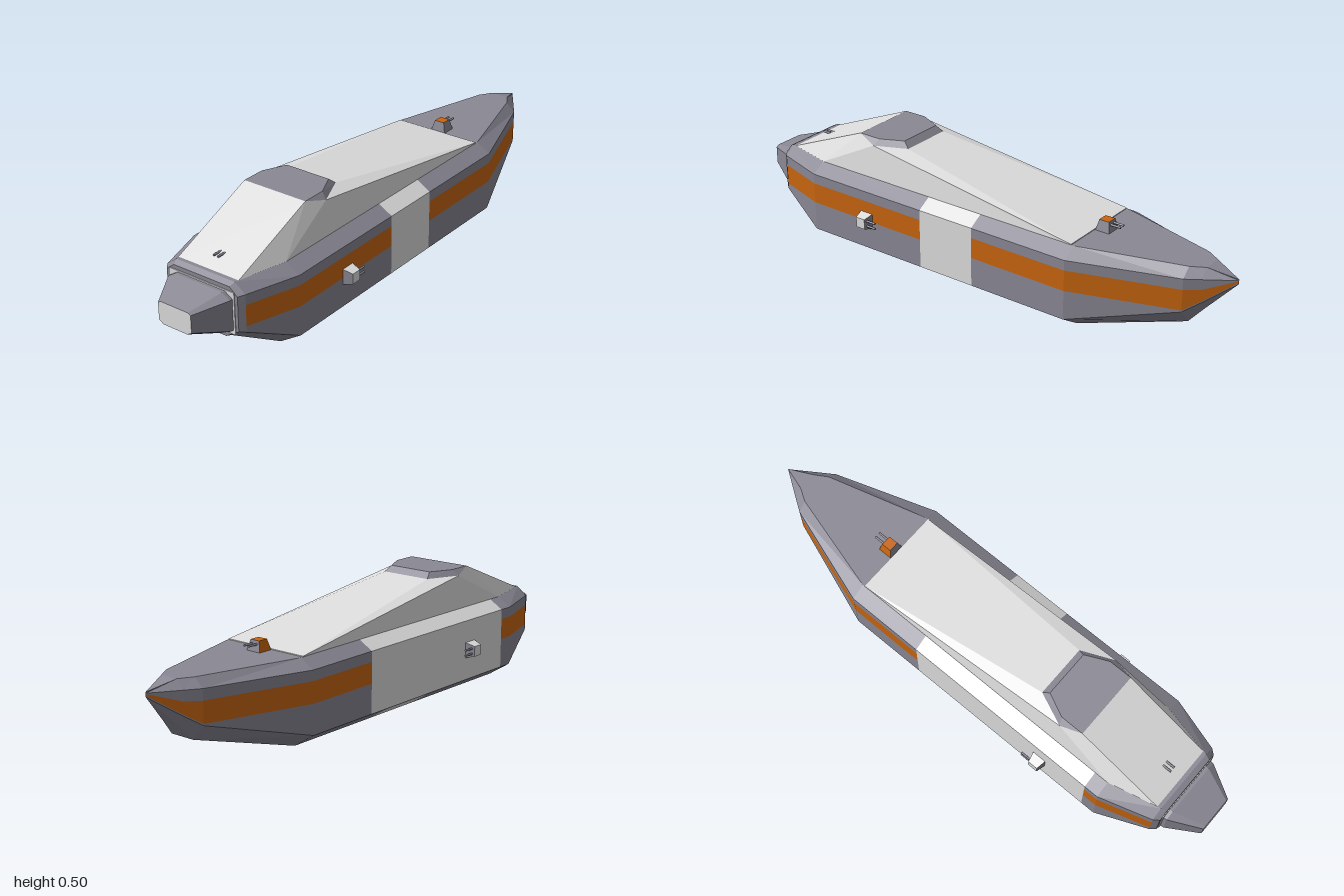
import * as THREE from 'three';

const mat = (name, color) => Object.assign(new THREE.MeshStandardMaterial({ color }), { name });

export function createModel() {
  const ship = new THREE.Group();
  ship.name = 'ship';
  const grey = mat('hull grey', 0x8a8894);
  const light = mat('light panel', 0xdedede);
  const orange = mat('orange stripe', 0xc8650f);
  const palette = [grey, light, orange];
  const GREY = 0, LIGHT = 1, ORANGE = 2;

  // Flat faces, each turned away from a centre point and grouped by colour
  function facetMesh(name, centre, faces) {
    const geo = new THREE.BufferGeometry(), pos = [];
    const c = new THREE.Vector3(...centre);
    palette.forEach((_, m) => {
      const start = pos.length / 3;
      for (const { pts, m: fm } of faces) {
        if (fm !== m) continue;
        const v = pts.map(p => new THREE.Vector3(...p));
        for (let i = 1; i < v.length - 1; i++) {
          const t = new THREE.Triangle(v[0], v[i], v[i + 1]);
          if (t.getArea() < 1e-9) continue;
          const out = t.getMidpoint(new THREE.Vector3()).sub(c);
          const flip = t.getNormal(new THREE.Vector3()).dot(out) < 0;
          for (const p of flip ? [t.a, t.c, t.b] : [t.a, t.b, t.c]) pos.push(p.x, p.y, p.z);
        }
      }
      if (pos.length / 3 > start) geo.addGroup(start, pos.length / 3 - start, m);
    });
    geo.setAttribute('position', new THREE.Float32BufferAttribute(pos, 3));
    geo.computeVertexNormals();
    const mesh = new THREE.Mesh(geo, palette);
    mesh.name = name;
    ship.add(mesh);
  }

  // Joins mirrored half sections; colour(section, band, side) picks the paint
  function loft(sections, colour, capColours) {
    const faces = [];
    const ring = ({ z, half }, s) => half.map(([x, y]) => [s * x, y, z]);
    for (let i = 0; i < sections.length - 1; i++) {
      for (const s of [1, -1]) {
        const a = ring(sections[i], s), b = ring(sections[i + 1], s);
        for (let k = 0; k < a.length - 1; k++)
          faces.push({ pts: [a[k], a[k + 1], b[k + 1], b[k]], m: colour(i, k, s) });
      }
      const a = ring(sections[i], 1), b = ring(sections[i + 1], 1);
      const a2 = ring(sections[i], -1), b2 = ring(sections[i + 1], -1), n = a.length - 1;
      faces.push({ pts: [a[0], b[0], b2[0], a2[0]], m: colour(i, -1, 0) });
      faces.push({ pts: [a[n], b[n], b2[n], a2[n]], m: colour(i, n, 0) });
    }
    [sections[0], sections[sections.length - 1]].forEach((sec, i) =>
      faces.push({ pts: [...ring(sec, 1), ...ring(sec, -1).reverse()], m: capColours[i] }));
    return faces;
  }

  // Hull: top edge, shoulder, stripe top, stripe bottom, chine, keel edge
  const hullSection = (z, w, top, topW, shoulder, s1, s0, chine, keel, keelW) =>
    ({ z, half: [[topW, top], [w, shoulder], [w, s1], [w, s0], [w, chine], [keelW, keel]] });
  const full = z => hullSection(z, 0.226, 0.355, 0.172, 0.323, 0.285, 0.207, 0.097, 0.042, 0.14);
  const hull = [
    hullSection(0.87, 0.15, 0.345, 0.118, 0.318, 0.285, 0.207, 0.19, 0.155, 0.095),
    hullSection(0.85, 0.166, 0.355, 0.125, 0.323, 0.285, 0.207, 0.185, 0.15, 0.1),
    full(0.655), full(0.6), full(0.15), full(-0.08), full(-0.17), full(-0.47),
    hullSection(-0.85, 0.1, 0.355, 0.065, 0.323, 0.283, 0.206, 0.2, 0.142, 0.05),
    hullSection(-0.9, 0.067, 0.354, 0.035, 0.323, 0.285, 0.24, 0.235, 0.2, 0.033),
    hullSection(-1, 0, 0.327, 0, 0.323, 0.32, 0.315, 0.312, 0.31, 0),
  ];
  facetMesh('hull', [0, 0.23, 0], loft(hull, (i, k, side) => {
    if (i === 4 && k >= 0) return LIGHT;                               // midship band
    if (side < 0 && k < 4 && i >= 3 && i <= 5) return LIGHT;           // long right side panel
    return k === 2 && i > 0 ? ORANGE : GREY;
  }, [GREY, GREY]));

  // Front plate and tapered nose block
  const plate = new THREE.Mesh(new THREE.BoxGeometry(0.276, 0.155, 0.006), light);
  plate.name = 'frontPlate';
  plate.position.set(0, 0.2525, 0.87);
  ship.add(plate);
  const nose = [
    { z: 0.87, half: [[0.1, 0.325], [0.131, 0.305], [0.131, 0.192], [0.085, 0.17]] },
    { z: 0.885, half: [[0.1, 0.325], [0.131, 0.305], [0.131, 0.192], [0.085, 0.17]] },
    { z: 1, half: [[0.058, 0.291], [0.069, 0.284], [0.069, 0.22], [0.05, 0.209]] },
  ];
  facetMesh('noseBlock', [0, 0.25, 0.92], loft(nose, () => GREY, [GREY, LIGHT]));

  // Superstructure with sloping deck, windscreen slope and roof cap
  const A = [0.172, 0.358, -0.46], B = [0.1, 0.475, 0.3], C = [0.153, 0.475, 0.42];
  const E = [0.13, 0.496, 0.5], F = [0.172, 0.354, 0.655], G = [0.128, 0.347, 0.855];
  const P = [0.09, 0.496, 0.325], Q = [0.13, 0.496, 0.41];
  const A0 = [0.172, 0.35, -0.46];
  const mir = ([x, y, z]) => [-x, y, z];
  const both = (m, ...pts) => [{ pts, m }, { pts: pts.map(mir), m }];
  const across = (m, p, q) => ({ pts: [p, q, mir(q), mir(p)], m });
  facetMesh('superstructure', [0, 0.3, 0.3], [
    ...both(LIGHT, A0, A, C, F), ...both(LIGHT, A, B, C),
    ...both(LIGHT, C, E, F), ...both(LIGHT, E, G, F),
    across(LIGHT, A0, A), across(LIGHT, A, B), across(LIGHT, E, G),
  ]);
  facetMesh('roofCap', [0, 0.4, 0.42], [
    ...both(GREY, B, C, Q, P), ...both(GREY, C, E, Q),
    across(GREY, B, P), across(GREY, P, Q), across(GREY, Q, E),
  ]);

  // Gun barrel lying along z
  function barrel(parent, x, y, z, length) {
    const geo = new THREE.CylinderGeometry(0.004, 0.004, length, 8).rotateX(Math.PI / 2);
    const mesh = new THREE.Mesh(geo, grey);
    mesh.name = 'gunBarrel';
    mesh.position.set(x, y, z);
    parent.add(mesh);
  }

  // Tapered turret with twin barrels, built standing up and then turned to its mount
  function turret(name, position, roll, faces, height, yaw = 0) {
    const g = new THREE.Group();
    g.name = name;
    const geo = new THREE.BoxGeometry(0.06, height, 0.055).translate(0, height / 2, 0);
    const p = geo.attributes.position;
    for (let i = 0; i < p.count; i++)
      if (p.getY(i) > height / 2) p.setXYZ(i, p.getX(i) * 0.65, p.getY(i), p.getZ(i) * 0.7);
    geo.computeVertexNormals();
    const body = new THREE.Mesh(geo, faces);
    body.name = 'turretBody';
    g.add(body);
    for (const x of [-0.01, 0.01]) barrel(g, x, height * 0.68, -0.038, 0.045);
    g.position.set(...position);
    g.rotation.set(0, yaw, roll);
    ship.add(g);
  }
  // Face order: +x, -x, outer, inner, +z, -z
  turret('deckTurret', [0, 0.355, -0.49], 0, [grey, orange, orange, grey, grey, grey], 0.038);
  turret('leftTurret', [0.224, 0.211, 0.4], -Math.PI / 2, [orange, light, light, grey, grey, grey], 0.038);
  turret('rightTurret', [-0.224, 0.211, 0.4], Math.PI / 2, [light, orange, light, grey, grey, grey], 0.038);
  turret('aftKeelTurret', [0, 0.042, -0.31], Math.PI, [grey, grey, light, grey, orange, grey], 0.042);
  turret('foreKeelTurret', [0, 0.042, 0.41], Math.PI, [grey, orange, grey, grey, orange, grey], 0.036, Math.PI);

  // Twin guns on the windscreen slope
  for (const x of [-0.009, 0.009]) barrel(ship, x, 0.383, 0.78, 0.035);

  return ship;
}
